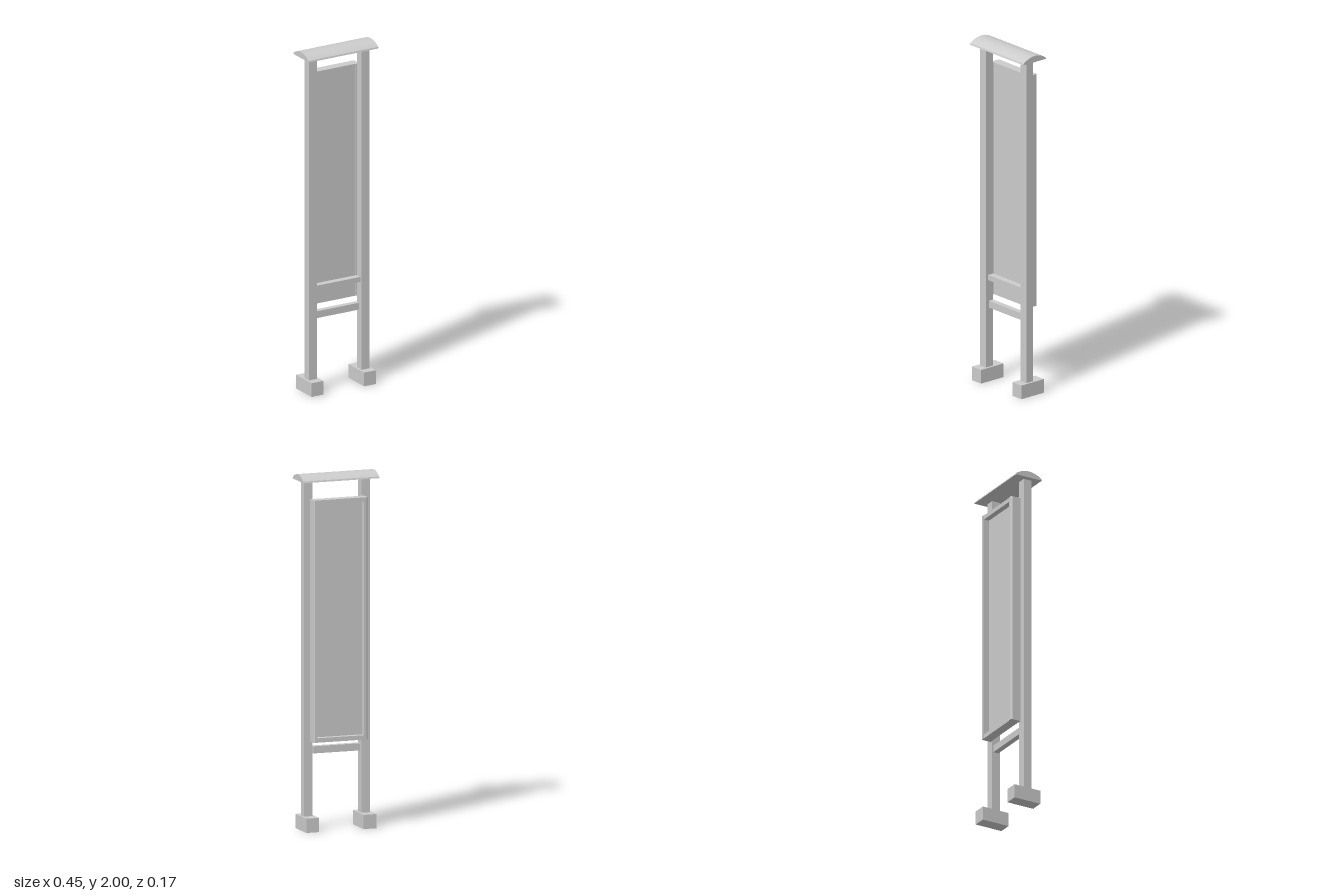
import * as THREE from 'three';
import { toCreasedNormals } from 'three/addons/utils/BufferGeometryUtils.js';

const material = new THREE.MeshStandardMaterial({ color: 0xcccccc });

export function createModel() {
  const model = new THREE.Group();
  model.name = 'noticeBoard';

  const add = (name, geometry) => {
    const mesh = new THREE.Mesh(geometry, material);
    mesh.name = name;
    model.add(mesh);
    return mesh;
  };

  // Box given by its lower and upper limits on each axis
  const box = (name, [x0, x1], [y0, y1], [z0, z1]) => {
    const mesh = add(name, new THREE.BoxGeometry(x1 - x0, y1 - y0, z1 - z0));
    mesh.position.set((x0 + x1) / 2, (y0 + y1) / 2, (z0 + z1) / 2);
    return mesh;
  };

  // Footings, posts and the side bars of the display frame
  for (const [side, s] of [['left', 1], ['right', -1]]) {
    const span = (a, b) => (s > 0 ? [a, b] : [-b, -a]);
    box(side + 'Footing', span(0.132, 0.208), [0, 0.08], [-0.083, 0.083]);
    box(side + 'Post', span(0.145, 0.195), [0.08, 1.965], [-0.015, 0.035]);

    // Bar with its outer back edge bevelled
    const profile = new THREE.Shape([
      [0.1375, 0.015], [0.16, 0.015], [0.16, 0.068], [0.153, 0.075], [0.1375, 0.075],
    ].map(([x, z]) => new THREE.Vector2(s * x, z)));
    const bar = new THREE.ExtrudeGeometry(profile, { depth: 1.36, bevelEnabled: false });
    bar.rotateX(-Math.PI / 2);
    add(side + 'FrameBar', bar).position.y = 0.5;
  }

  // Display sheet set between the frame bars, recessed at the back
  box('displayPanel', [-0.1375, 0.1375], [0.5, 1.86], [-0.04, -0.018]);
  box('frameTop', [-0.1375, 0.1375], [1.835, 1.86], [-0.072, -0.04]);
  box('frameBottom', [-0.1375, 0.1375], [0.5, 0.525], [-0.072, -0.04]);

  // Rails between the posts
  box('upperRail', [-0.145, 0.145], [0.59, 0.62], [-0.018, 0.02]);
  box('lowerRail', [-0.1375, 0.1375], [0.43, 0.47], [-0.012, 0.02]);

  // Curved roof: shallow arc with a slanted lip along both eaves
  const half = 0.08, eave = 1.973, rise = 2 - eave;
  const radius = (half * half + rise * rise) / (2 * rise);
  const angle = Math.asin(half / radius);
  const roofShape = new THREE.Shape();
  roofShape.moveTo(-0.083, 1.964);
  roofShape.lineTo(0.083, 1.964);
  roofShape.lineTo(half, eave);
  roofShape.absarc(0, 2 - radius, radius, Math.PI / 2 - angle, Math.PI / 2 + angle, false);
  roofShape.closePath();
  const roof = new THREE.ExtrudeGeometry(roofShape, { depth: 0.45, bevelEnabled: false, curveSegments: 20 });
  roof.translate(0, 0, -0.225);
  roof.rotateY(Math.PI / 2);
  add('roof', toCreasedNormals(roof, 0.4));

  return model;
}
